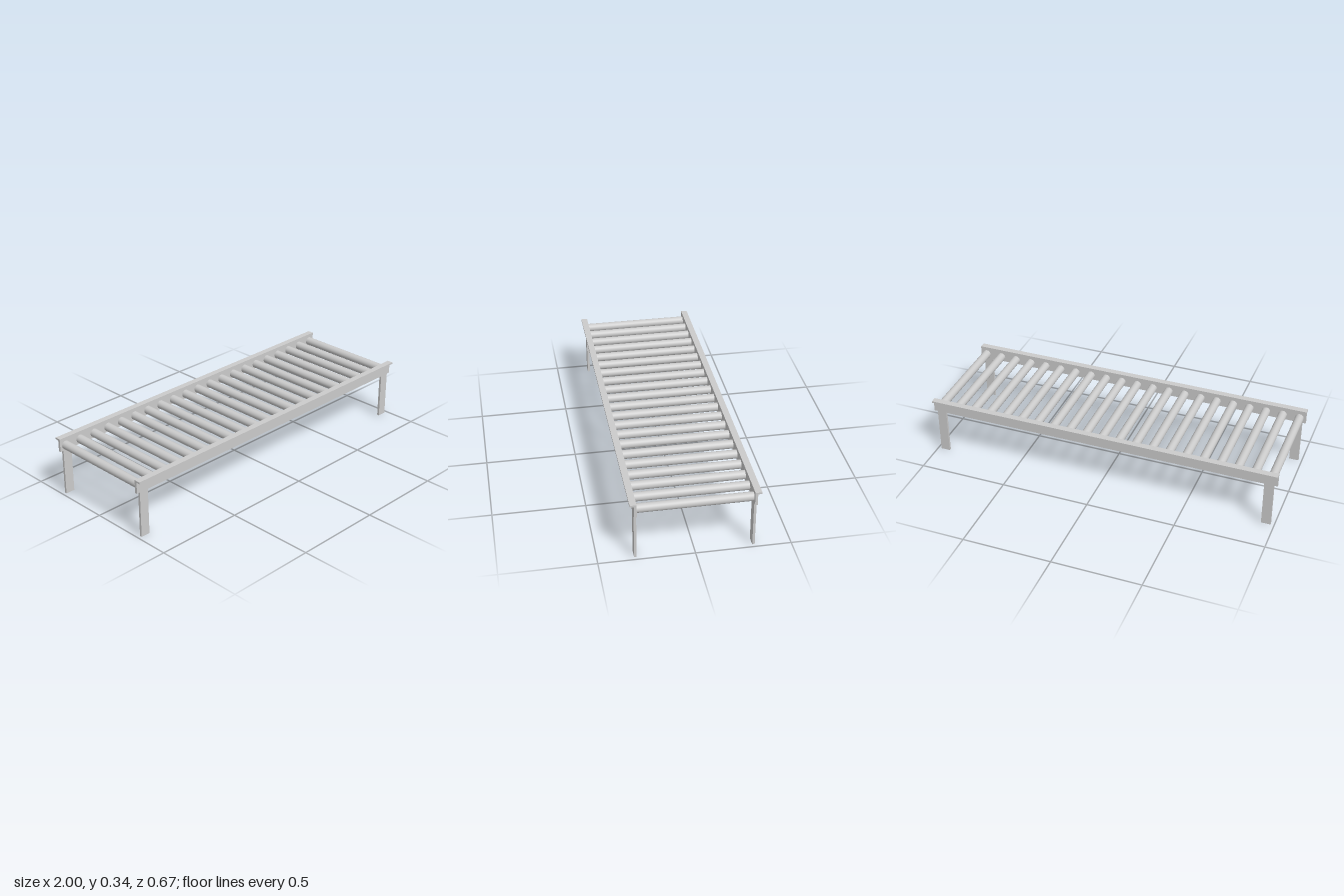
import * as THREE from 'three';

const RAIL_BOTTOM = 0.262, RAIL_TOP = 0.336, FLANGE = 0.01;
const INNER_Z = 0.299, WEB_Z = 0.313, OUTER_Z = 0.334;
const ROLLERS = 21, ROLLER_X = 0.963, ROLLER_Y = 0.292, ROLLER_R = 0.024;

export function createModel() {
  const model = new THREE.Group();
  model.name = 'rollerConveyor';
  const material = new THREE.MeshStandardMaterial({ color: 0xcccccc });

  const add = (name, geometry, x, y, z) => {
    const mesh = new THREE.Mesh(geometry, material);
    mesh.name = name;
    mesh.position.set(x, y, z);
    model.add(mesh);
    return mesh;
  };

  // Angle-section side rail, flange pointing outwards (+z before turning)
  const section = new THREE.Shape([
    [INNER_Z, RAIL_BOTTOM], [WEB_Z, RAIL_BOTTOM], [WEB_Z, RAIL_TOP - FLANGE],
    [OUTER_Z, RAIL_TOP - FLANGE], [OUTER_Z, RAIL_TOP], [INNER_Z, RAIL_TOP],
  ].map(([z, y]) => new THREE.Vector2(z, y)));
  const railGeometry = new THREE.ExtrudeGeometry(section, { depth: 2, bevelEnabled: false });
  railGeometry.translate(0, 0, -1).rotateY(-Math.PI / 2);

  const legGeometry = new THREE.BoxGeometry(0.053, RAIL_BOTTOM, 0.013);

  for (const side of [1, -1]) {
    const where = side > 0 ? 'front' : 'back';
    add(where + 'Rail', railGeometry, 0, 0, 0).rotation.y = side > 0 ? 0 : Math.PI;

    // Flat legs under the rail ends
    for (const end of [1, -1]) {
      add(where + (end > 0 ? 'LeftLeg' : 'RightLeg'), legGeometry,
        end * 0.954, RAIL_BOTTOM / 2, side * 0.306);
    }
  }

  // Evenly spaced rollers between the rails
  const rollerGeometry = new THREE.CylinderGeometry(ROLLER_R, ROLLER_R, INNER_Z * 2, 32);
  rollerGeometry.rotateX(Math.PI / 2);
  for (let i = 0; i < ROLLERS; i++) {
    const x = ROLLER_X * (2 * i / (ROLLERS - 1) - 1);
    add('roller' + (i + 1), rollerGeometry, x, ROLLER_Y, 0);
  }

  return model;
}
